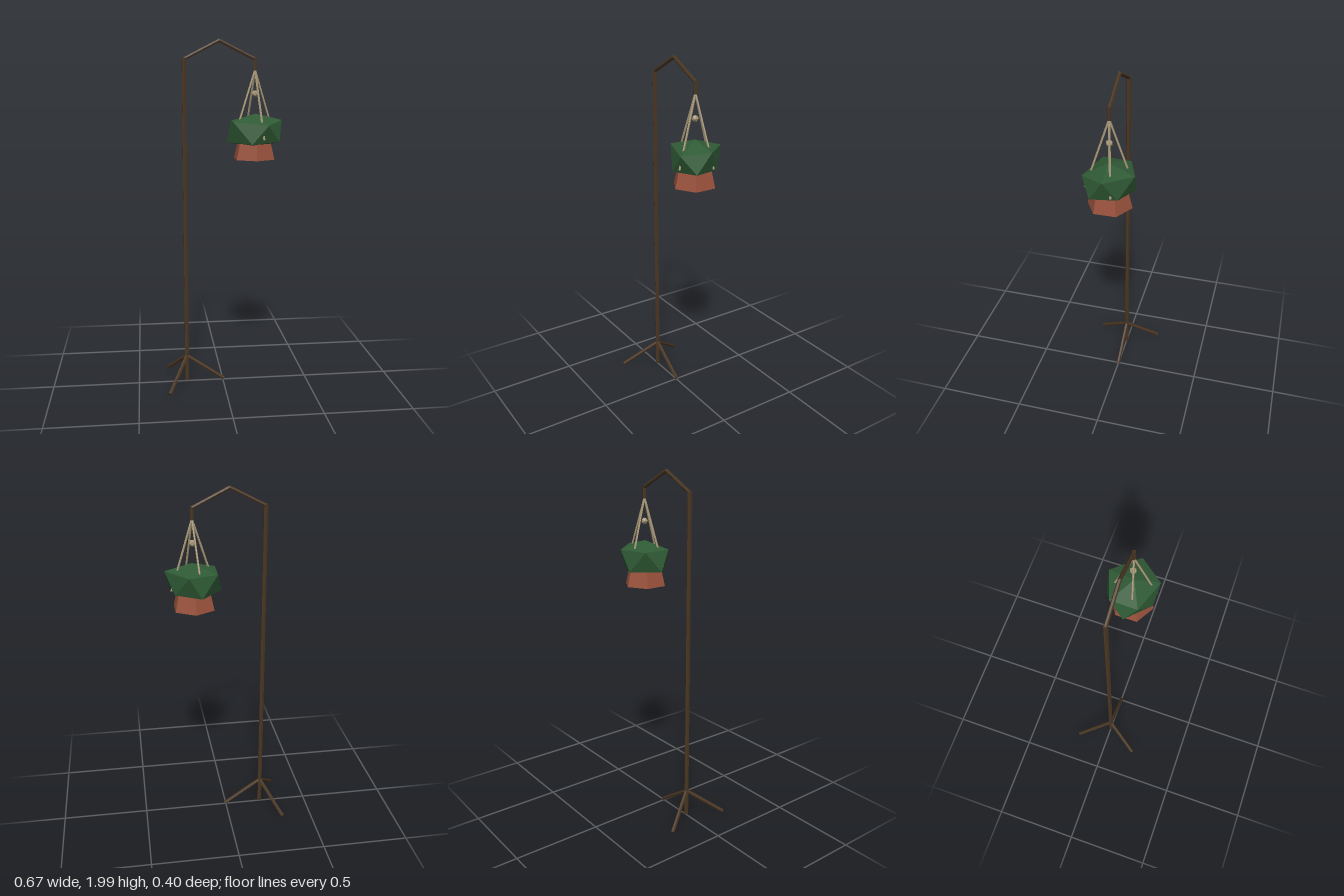
import * as THREE from 'three';
import { ConvexGeometry } from 'three/addons/geometries/ConvexGeometry.js';

const V = (x, y, z) => new THREE.Vector3(x, y, z);
const material = (color) => new THREE.MeshStandardMaterial({ color, flatShading: true });

export function createModel() {
  const model = new THREE.Group();
  const wood = material(0x4a3622);
  const rope = material(0xa89878);
  const leaf = material(0x2f5a35);
  const clay = material(0x9a523c);

  const add = (name, geometry, mat) => {
    const mesh = new THREE.Mesh(geometry, mat);
    mesh.name = name;
    model.add(mesh);
    return mesh;
  };
  // Straight rod between two points
  const rod = (name, a, b, radius, mat, sides = 6) => {
    const dir = b.clone().sub(a);
    const mesh = add(name, new THREE.CylinderGeometry(radius, radius, dir.length(), sides), mat);
    mesh.position.copy(a).add(b).multiplyScalar(0.5);
    mesh.quaternion.setFromUnitVectors(V(0, 1, 0), dir.normalize());
    return mesh;
  };

  const poleX = -0.215, hangX = 0.18;

  // Pole and bent arm
  rod('pole', V(poleX, 0.01, 0), V(poleX, 1.895, 0), 0.013, wood);
  rod('armRise', V(poleX, 1.888, 0), V(-0.018, 1.989, 0), 0.01, wood);
  rod('armFall', V(-0.022, 1.989, 0), V(hangX, 1.888, 0), 0.01, wood);
  rod('armTip', V(hangX, 1.895, 0), V(hangX, 1.825, 0), 0.01, wood);

  // Three splayed feet
  for (let i = 0; i < 3; i++) {
    const a = (i * Math.PI * 2) / 3;
    rod('foot', V(poleX, 0.163, 0),
      V(poleX + 0.22 * Math.cos(a), 0.01, 0.22 * Math.sin(a)), 0.011, wood);
  }

  // Four ropes running down to the pot, with a knot between them
  for (let i = 0; i < 4; i++) {
    const a = 1.28 + (i * Math.PI) / 2;
    rod('rope', V(hangX, 1.83, 0),
      V(hangX + 0.127 * Math.cos(a), 1.45, 0.127 * Math.sin(a)), 0.006, rope, 5);
  }
  add('knot', new THREE.IcosahedronGeometry(0.02, 0), rope).position.set(hangX, 1.7, 0);

  // Faceted foliage: a top point, two offset rings of five, a bottom point
  add('foliage', new ConvexGeometry([
    V(0.185, 1.59, 0.005),
    V(0.335, 1.553, 0), V(0.215, 1.548, -0.143), V(0.055, 1.545, -0.085),
    V(0.05, 1.548, 0.07), V(0.24, 1.53, 0.132),
    V(0.31, 1.437, 0.075), V(0.15, 1.425, 0.122), V(0.022, 1.432, 0),
    V(0.145, 1.428, -0.132), V(0.285, 1.437, -0.07),
    V(0.18, 1.4, 0),
  ]), leaf);

  // Six-sided pot, widest at its base
  add('pot', new THREE.CylinderGeometry(0.09, 0.123, 0.14, 6), clay).position.set(hangX - 0.002, 1.405, 0);

  return model;
}
